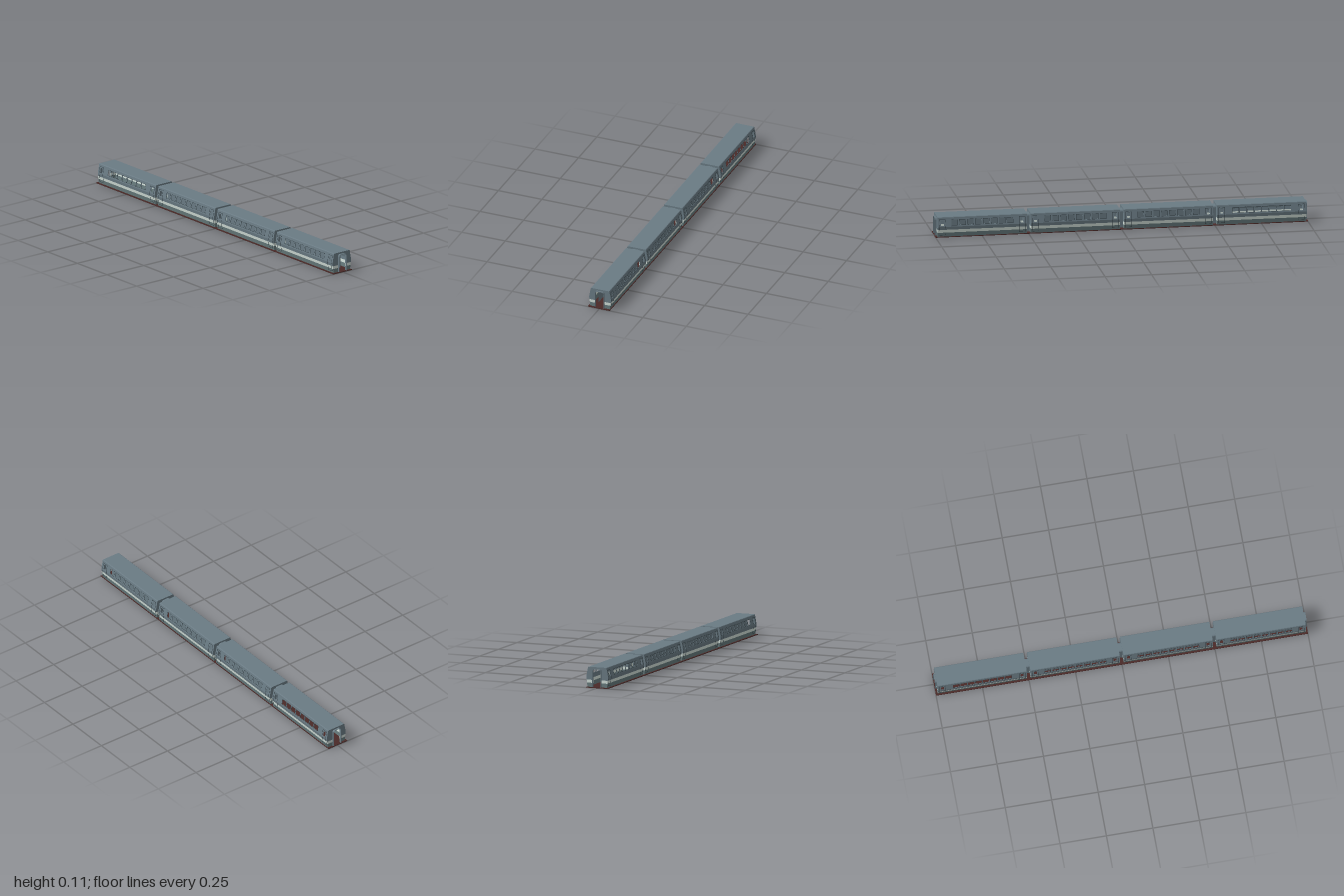
import * as THREE from 'three';

const mat = (color) => new THREE.MeshStandardMaterial({ color, side: THREE.DoubleSide, flatShading: true });
const GREY = mat(0x6a7b84), LOWER = mat(0x667a7c), STRIPE = mat(0xcfdcd6), DARK = mat(0x39454a), FLOOR = mat(0x4a2a28);

const LEN = 0.48, HALF = LEN / 2, WALL = 0.002;
const BASE = 0.004, BELT = 0.058, EAVE = 0.1, TOP = 0.111;
const DOOR_X = 0.024; // half width of the end doorway

// Half width of the body at height y: widest at the belt line
function halfWidth(y) {
  return y < BELT
    ? 0.056 + (0.007 * (y - BASE)) / (BELT - BASE)
    : 0.063 - (0.008 * (y - BELT)) / (EAVE - BELT);
}

// Horizontal colour bands shared by the sides and the end walls
const BANDS = [
  ['lowerPanel', BASE, 0.026, LOWER],
  ['stripe', 0.026, 0.042, STRIPE],
  ['beltPanel', 0.042, BELT, GREY],
  ['windowPanel', BELT, EAVE, GREY],
];

function poly(points) {
  return new THREE.Shape(points.map(([x, y]) => new THREE.Vector2(x, y)));
}

function rect(a, b, y0, y1) {
  return poly([[a, y0], [b, y0], [b, y1], [a, y1]]);
}

function roundRect(a, b, y0, y1, r) {
  const p = new THREE.Path();
  p.moveTo(a + r, y0).lineTo(b - r, y0).quadraticCurveTo(b, y0, b, y0 + r);
  p.lineTo(b, y1 - r).quadraticCurveTo(b, y1, b - r, y1);
  p.lineTo(a + r, y1).quadraticCurveTo(a, y1, a, y1 - r);
  p.lineTo(a, y0 + r).quadraticCurveTo(a, y0, a + r, y0);
  return p;
}

function extrude(shape, depth) {
  return new THREE.ExtrudeGeometry(shape, { depth, bevelEnabled: false, curveSegments: 5 });
}

function add(group, name, geometry, material, z = 0) {
  const mesh = new THREE.Mesh(geometry, material);
  mesh.name = name;
  mesh.position.z = z;
  group.add(mesh);
  return mesh;
}

// Flat outline wrapped onto the sloping left side
function sidePanel(shape, thickness = WALL, raise = 0) {
  const g = extrude(shape, thickness);
  const p = g.attributes.position;
  for (let i = 0; i < p.count; i++) {
    const u = p.getX(i), y = p.getY(i), w = p.getZ(i);
    p.setXYZ(i, halfWidth(y) - thickness + w + raise, y, -u);
  }
  g.computeVertexNormals();
  return g;
}

// Windows as [start, end] along the car
function windowRow(count, span, width) {
  return Array.from({ length: count }, (_, i) => {
    const c = -span / 2 + (span * (i + 0.5)) / count;
    return [c - width / 2, c + width / 2];
  });
}

function sideWall(windows) {
  const side = new THREE.Group();
  side.name = 'sideWall';
  const doors = [-1, 1].map((s) => s * (HALF - 0.026));
  for (const [name, y0, y1, material] of BANDS) {
    const shape = rect(-HALF, HALF, y0, y1);
    if (name === 'windowPanel') {
      for (const [a, b] of windows) shape.holes.push(roundRect(a, b, 0.066, 0.094, 0.003));
      for (const d of doors) shape.holes.push(roundRect(d - 0.008, d + 0.008, 0.064, 0.091, 0.003));
    }
    add(side, name, sidePanel(shape), material);
  }
  // Window surrounds
  for (const [a, b] of windows) {
    const frame = rect(a - 0.0015, b + 0.0015, 0.0645, 0.0955);
    frame.holes.push(roundRect(a, b, 0.066, 0.094, 0.003));
    add(side, 'windowFrame', sidePanel(frame, 0.001, 0.0003), DARK);
  }
  // Door frames, split where the side changes slope
  for (const d of doors) {
    for (const s of [-1, 1]) {
      const x = d + s * 0.016;
      for (const [y0, y1] of [[0.012, BELT], [BELT, 0.098]]) {
        add(side, 'doorFrame', sidePanel(rect(x - 0.001, x + 0.001, y0, y1), 0.0012, 0.0006), DARK);
      }
    }
    for (const y of [0.012, 0.096]) {
      add(side, 'doorFrame', sidePanel(rect(d - 0.016, d + 0.016, y, y + 0.002), 0.0012, 0.0006), DARK);
    }
  }
  return side;
}

// Doorway outline, open at the bottom
function archPoints(x, y0, top, r) {
  const pts = [[-x, y0]];
  for (let i = 0; i <= 6; i++) {
    const a = Math.PI - (i * Math.PI) / 12;
    pts.push([-x + r + r * Math.cos(a), top - r + r * Math.sin(a)]);
  }
  return pts.concat(pts.map(([px, py]) => [-px, py]).reverse());
}

function endWall() {
  const end = new THREE.Group();
  end.name = 'endWall';
  for (const [name, y0, y1, material] of BANDS.slice(0, 3)) {
    for (const s of [-1, 1]) {
      const leg = poly([[s * DOOR_X, y0], [s * halfWidth(y0), y0], [s * halfWidth(y1), y1], [s * DOOR_X, y1]]);
      add(end, name, extrude(leg, 0.003), material);
    }
  }
  const outer = [[0.063, BELT], [0.055, EAVE], [0.054, 0.107], [0.05, TOP - 0.001]];
  const upper = poly([
    ...archPoints(DOOR_X, BELT, 0.1, 0.012),
    ...outer,
    ...outer.map(([x, y]) => [-x, y]).reverse(),
  ]);
  add(end, 'upperEndPanel', extrude(upper, 0.003), GREY);
  // Gangway stub reaching towards the next car
  const tube = poly([
    ...archPoints(DOOR_X + 0.002, BASE, 0.102, 0.013),
    ...archPoints(DOOR_X, BASE, 0.1, 0.012).reverse(),
  ]);
  add(end, 'gangway', extrude(tube, 0.01), GREY, 0.003);
  end.position.z = HALF - 0.003;
  return end;
}

function car(open) {
  const group = new THREE.Group();
  group.name = open ? 'openCar' : 'compartmentCar';
  const windows = open ? windowRow(8, 0.32, 0.034) : windowRow(8, 0.34, 0.032);
  for (const turn of [0, Math.PI]) {
    const half = new THREE.Group();
    half.name = 'carHalf';
    half.rotation.y = turn;
    half.add(sideWall(windows), endWall());
    // Compartment wall beside the corridor
    if (!open) {
      const wall = new THREE.BoxGeometry(0.0015, 0.1, LEN - 0.1);
      wall.translate(0.03, 0.054, 0);
      add(half, 'compartmentWall', wall, GREY);
    }
    group.add(half);
  }
  // Roof shell with softened shoulders
  const half = [[0.055, EAVE], [0.054, 0.107], [0.0525, 0.1095], [0.05, TOP]];
  const roof = poly([
    [-0.053, EAVE], [-0.049, 0.108], [0.049, 0.108], [0.053, EAVE],
    ...half,
    ...half.map(([x, y]) => [-x, y]).reverse(),
  ]);
  add(group, 'roof', extrude(roof, LEN), GREY, -HALF);
  return group;
}

export function createModel() {
  const model = new THREE.Group();
  model.name = 'train';
  // One floor plate under the whole train
  const floor = add(model, 'floor', new THREE.BoxGeometry(0.125, 0.004, 2), FLOOR);
  floor.position.set(-0.0025, 0.002, 0);
  [0.75, 0.25, -0.25, -0.75].forEach((z, i) => {
    const c = car(i === 3);
    c.position.set(0.0005, 0, z);
    model.add(c);
  });
  return model;
}
